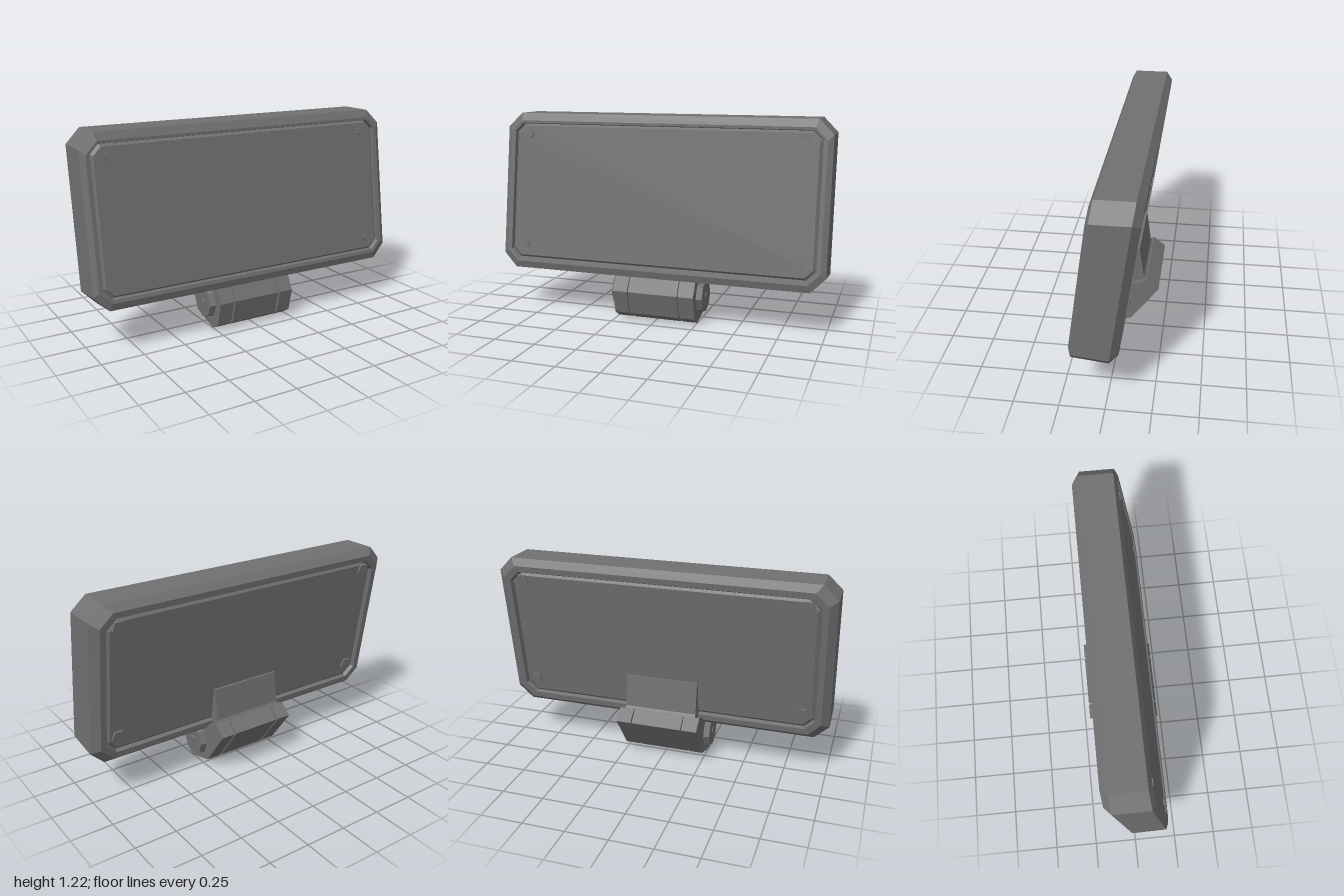
import * as THREE from 'three';

const grey = new THREE.MeshStandardMaterial({ color: 0x707070 });
grey.name = 'dark grey';

// The lamp leans back: depth d is measured from this sloping middle plane
const midZ = (y) => 0.008 - 0.145 * (y - 0.73);

// Octagon loop: half width, bottom, top, corner cut, depth
function ring([hx, y0, y1, c, d]) {
  return [
    [hx, y0 + c], [hx, y1 - c], [hx - c, y1], [-hx + c, y1],
    [-hx, y1 - c], [-hx, y0 + c], [-hx + c, y0], [hx - c, y0],
  ].map(([x, y]) => [x, y, midZ(y) + d]);
}

// Skin between successive loops (front to back), with optional end caps
function skin(specs, capFront, capBack) {
  const rings = specs.map(ring), pos = [], n = 8;
  const tri = (a, b, c) => pos.push(...a, ...b, ...c);
  for (let r = 0; r < rings.length - 1; r++) {
    const A = rings[r], B = rings[r + 1];
    for (let i = 0; i < n; i++) {
      const j = (i + 1) % n;
      tri(A[i], B[i], B[j]);
      tri(A[i], B[j], A[j]);
    }
  }
  const F = rings[0], K = rings[rings.length - 1];
  for (let i = 1; i < n - 1; i++) {
    if (capFront) tri(F[0], F[i], F[i + 1]);
    if (capBack) tri(K[0], K[i + 1], K[i]);
  }
  const g = new THREE.BufferGeometry();
  g.setAttribute('position', new THREE.Float32BufferAttribute(pos, 3));
  g.computeVertexNormals();
  return g;
}

// Side profile given as [z, y], extruded from x0 to x1
function sideExtrude(points, x0, x1) {
  const shape = new THREE.Shape(points.map(([z, y]) => new THREE.Vector2(-z, y)));
  const g = new THREE.ExtrudeGeometry(shape, { depth: x1 - x0, bevelEnabled: false });
  return g.rotateY(Math.PI / 2).translate(x0, 0, 0);
}

export function createModel() {
  const model = new THREE.Group();
  model.name = 'floodLamp';
  const add = (name, geometry, parent = model) => {
    const m = new THREE.Mesh(geometry, grey);
    m.name = name;
    parent.add(m);
    return m;
  };

  // Housing: recess lip, front bevel, side wall, back bevel, recess lip
  add('housing', skin([
    [0.94, 0.335, 1.155, 0.05, 0.108],
    [0.945, 0.33, 1.16, 0.05, 0.13],
    [0.97, 0.31, 1.175, 0.07, 0.132],
    [1.0, 0.268, 1.22, 0.085, 0.115],
    [1.0, 0.245, 1.22, 0.085, -0.09],
    [0.955, 0.28, 1.18, 0.075, -0.132],
    [0.92, 0.315, 1.145, 0.06, -0.132],
    [0.91, 0.325, 1.135, 0.055, -0.108],
  ], false, false));

  // Panels sitting inside the two recesses
  add('frontPanel', skin([
    [0.925, 0.348, 1.142, 0.045, 0.122],
    [0.94, 0.335, 1.155, 0.05, 0.108],
  ], true, false));
  add('backPanel', skin([
    [0.91, 0.325, 1.135, 0.055, -0.108],
    [0.895, 0.34, 1.12, 0.05, -0.12],
  ], false, true));

  // Five-sided screws in the corners of both panels
  const tilt = Math.atan(0.145);
  const screws = new THREE.Group();
  screws.name = 'screws';
  model.add(screws);
  for (const x of [-0.845, 0.845]) {
    for (const y of [0.415, 1.09]) {
      for (const [side, r, d] of [['front', 0.025, 0.122], ['back', 0.042, -0.122]]) {
        const s = add(side + 'Screw', new THREE.CylinderGeometry(r, r, 0.02, 5).toNonIndexed(), screws);
        s.geometry.computeVertexNormals();
        s.rotation.x = Math.PI / 2 - tilt;
        s.position.set(x, y, midZ(y) + d);
      }
    }
  }

  // Swivel bracket: middle block, two cheeks and a narrow core in the gaps
  const bracket = new THREE.Group();
  bracket.name = 'bracket';
  model.add(bracket);
  const profile = [
    [0.22, 0.18], [0.185, 0.04], [0.12, 0], [-0.05, 0.045],
    [-0.215, 0.27], [-0.142, 0.33], [-0.05, 0.29], [0.0, 0.27], [0.165, 0.275],
  ];
  const core = profile.map(([z, y]) => [0.02 + (z - 0.02) * 0.92, 0.16 + (y - 0.16) * 0.92]);
  add('middleBlock', sideExtrude(profile, -0.15, 0.15), bracket);
  add('core', sideExtrude(core, -0.2, 0.2), bracket);
  for (const s of [-1, 1]) {
    add('cheek', sideExtrude(profile, s < 0 ? -0.25 : 0.162, s < 0 ? -0.162 : 0.25), bracket);

    // Pivot bolt with a chamfered eight-sided head
    for (const [name, rOut, rIn, len, x] of [
      ['boltHead', 0.095, 0.105, 0.04, 0.265],
      ['boltCentre', 0.02, 0.025, 0.008, 0.286],
    ]) {
      const g = new THREE.CylinderGeometry(rOut, rIn, len, 8).toNonIndexed();
      g.computeVertexNormals();
      const bolt = add(name, g, bracket);
      bolt.rotation.z = -s * Math.PI / 2;
      bolt.position.set(s * x, 0.155, 0.06);
    }
  }

  // Mounting plate rising up the back panel
  add('mountingPlate', sideExtrude([
    [-0.03, 0.27], [-0.15, 0.3], [-0.122, 0.34], [-0.098, 0.53], [-0.075, 0.53],
  ], -0.22, 0.22), bracket);

  return model;
}
